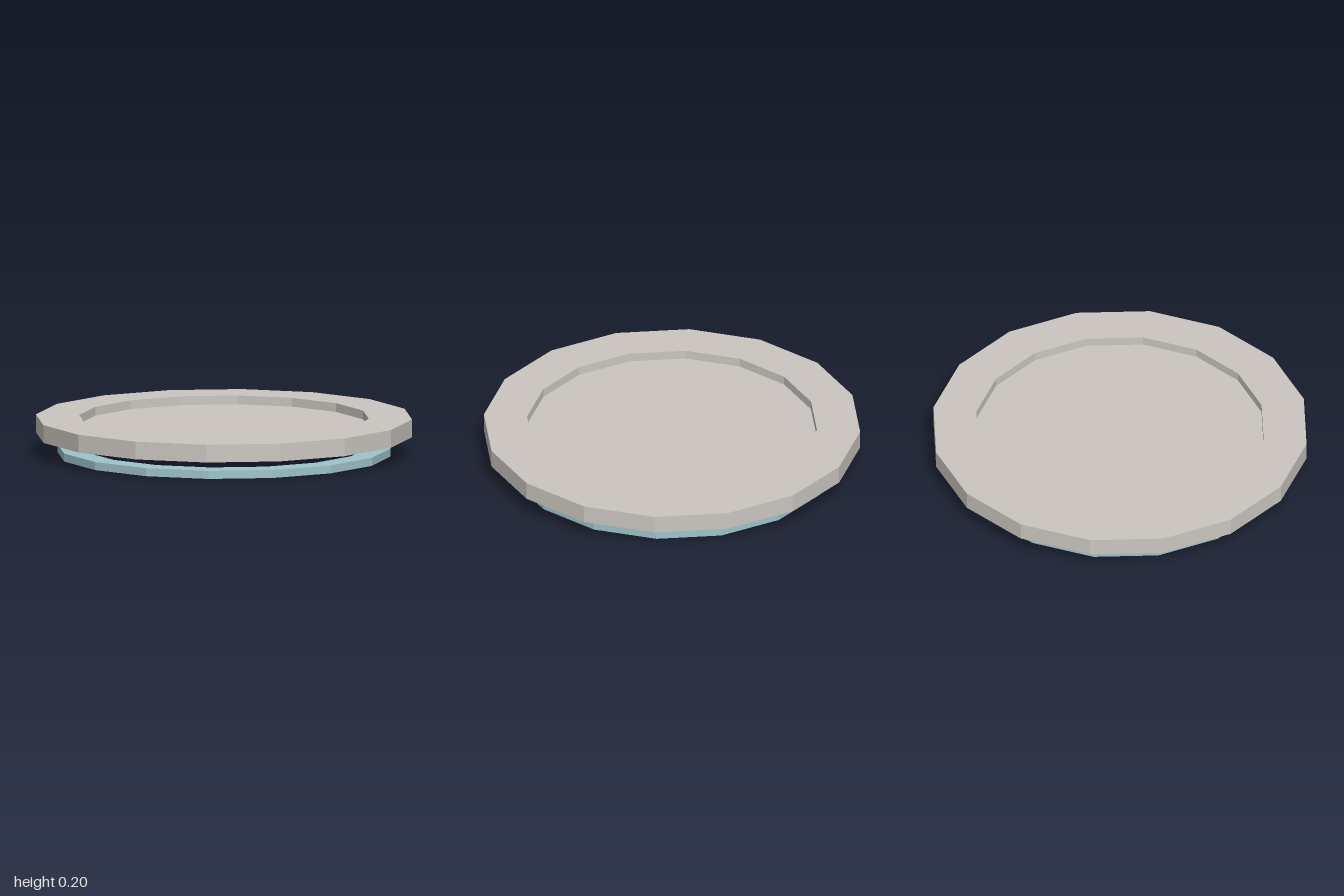
import * as THREE from 'three';

const SIDES = 16;

export function createModel() {
  const group = new THREE.Group();
  const stone = new THREE.MeshStandardMaterial({ color: 0xcbc6c0, flatShading: true });
  stone.name = 'warm grey';
  const glow = new THREE.MeshStandardMaterial({ color: 0x9ec4ca, flatShading: true });
  glow.name = 'pale teal';

  const add = (name, geometry, material) => {
    const flat = geometry.toNonIndexed();
    flat.computeVertexNormals();
    const mesh = new THREE.Mesh(flat, material);
    mesh.name = name;
    group.add(mesh);
    return mesh;
  };

  // Closed rectangular cross-section turned into a faceted ring
  const ring = (inner, outer, bottom, top) => new THREE.LatheGeometry([
    new THREE.Vector2(outer, bottom),
    new THREE.Vector2(outer, top),
    new THREE.Vector2(inner, top),
    new THREE.Vector2(inner, bottom),
    new THREE.Vector2(outer, bottom),
  ], SIDES);

  // Raised outer rim
  add('outerRim', ring(0.77, 1, 0.105, 0.2), stone);

  // Recessed centre plate, reaching slightly below the rim
  const plateBottom = 0.09, plateTop = 0.153;
  const plate = add('centrePlate',
    new THREE.CylinderGeometry(0.77, 0.77, plateTop - plateBottom, SIDES), stone);
  plate.position.y = (plateBottom + plateTop) / 2;

  // Separate ring floating underneath
  add('lowerRing', ring(0.76, 0.885, 0, 0.043), glow);

  return group;
}
